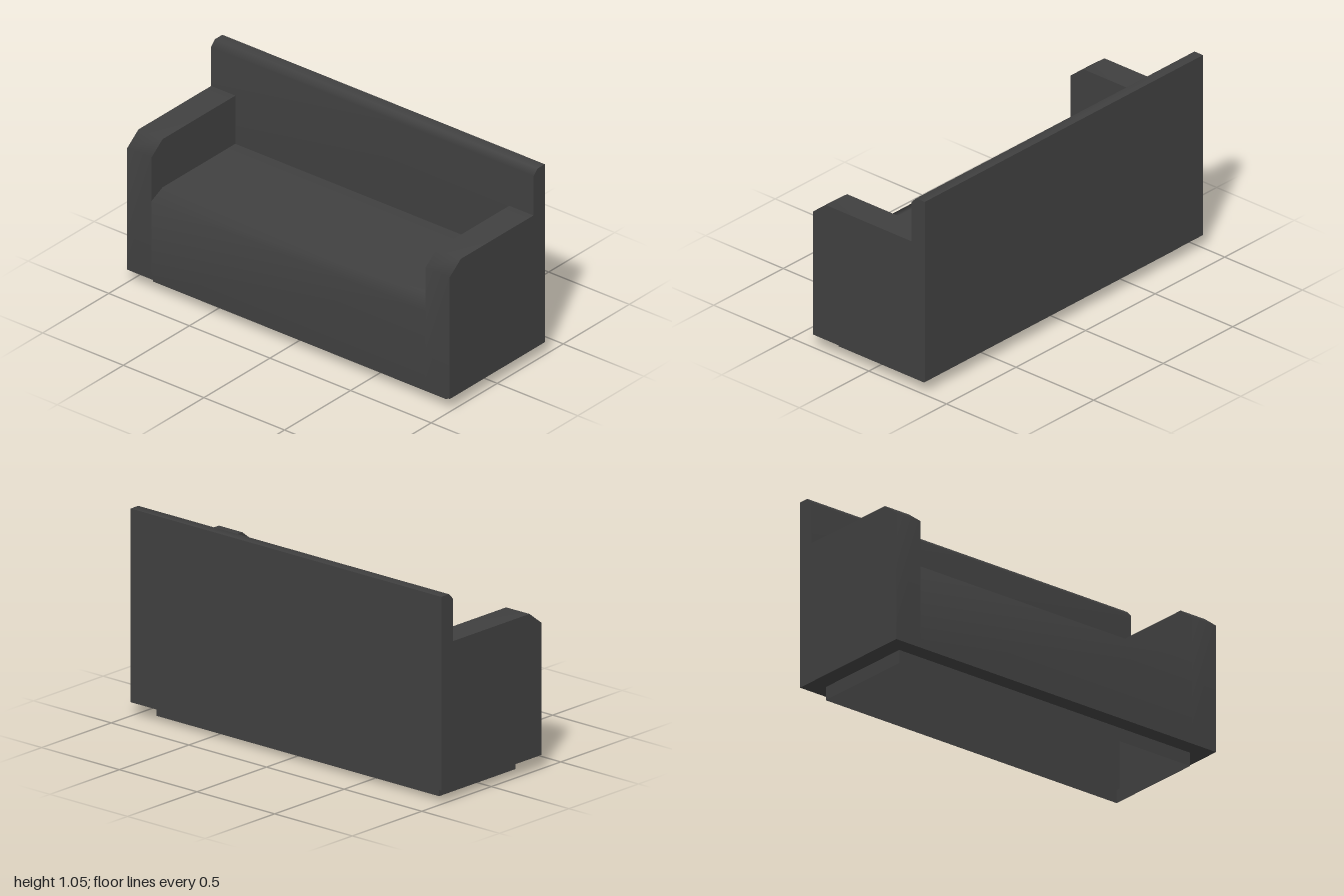
import * as THREE from 'three';

const charcoal = new THREE.MeshStandardMaterial({ color: 0x404040, side: THREE.DoubleSide });
charcoal.name = 'charcoal';

// Sheet swept along x over a [z, y] profile, smooth across its bends
function sheet(name, profile, x0, x1) {
  const pos = [], index = [];
  profile.forEach(([z, y], i) => {
    pos.push(x0, y, z, x1, y, z);
    if (i) {
      const a = 2 * i - 2;
      index.push(a, a + 1, a + 3, a, a + 3, a + 2);
    }
  });
  const geo = new THREE.BufferGeometry();
  geo.setAttribute('position', new THREE.Float32BufferAttribute(pos, 3));
  geo.setIndex(index);
  geo.computeVertexNormals();
  const mesh = new THREE.Mesh(geo, charcoal);
  mesh.name = name;
  return mesh;
}

// Flat panel with a [z, y] outline, facing left (+x) or right (-x)
function sidePanel(name, outline, x, facing) {
  const shape = new THREE.Shape(outline.map(([z, y]) => new THREE.Vector2(-facing * z, y)));
  const mesh = new THREE.Mesh(new THREE.ShapeGeometry(shape), charcoal);
  mesh.rotation.y = facing * Math.PI / 2;
  mesh.position.x = x;
  mesh.name = name;
  return mesh;
}

function rectangle(Type, hx, hz) {
  return new Type([[-hx, -hz], [hx, -hz], [hx, hz], [-hx, hz]].map(p => new THREE.Vector2(...p)));
}

export function createModel() {
  const sofa = new THREE.Group();
  sofa.name = 'sofa';

  const front = 0.36, back = -0.36, bend = 0.275, floor = 0.07;
  const seatY = 0.54, armY = 0.805, topY = 1.05;
  const armX = 0.85, baseX = 0.91, baseZ = 0.275;

  // Seat and backrest
  sofa.add(
    sheet('seat', [[front, floor], [front, 0.5], [bend, seatY], [-bend, seatY]], -armX, armX),
    sheet('backrest', [[-bend, seatY], [-bend, 1.02], [-0.305, topY], [back, topY]], -1, 1),
    sheet('backPanel', [[back, topY], [back, floor]], -1, 1)
  );

  // Arms
  const armProfile = [[front, floor], [front, 0.74], [bend, armY], [-bend, armY]];
  const outerOutline = [...armProfile, [-bend, 1.02], [-0.305, topY], [back, topY], [back, floor]];
  const innerOutline = [[front, 0.5], ...armProfile.slice(1), [-bend, seatY], [bend, seatY]];
  for (const s of [1, -1]) {
    const arm = new THREE.Group();
    arm.name = s > 0 ? 'leftArm' : 'rightArm';
    arm.add(
      sheet('armTop', armProfile, s > 0 ? armX : -1, s > 0 ? 1 : -armX),
      sidePanel('armOuterSide', outerOutline, s, s),
      sidePanel('armInnerSide', innerOutline, s * armX, -s)
    );
    sofa.add(arm);
  }

  // Underside rim around the open base
  const rimShape = rectangle(THREE.Shape, 1, front);
  rimShape.holes.push(rectangle(THREE.Path, baseX, baseZ));
  const rim = new THREE.Mesh(new THREE.ShapeGeometry(rimShape).rotateX(Math.PI / 2), charcoal);
  rim.position.y = floor;
  rim.name = 'undersideRim';
  sofa.add(rim);

  // Recessed plinth, open below
  const plinth = new THREE.Group();
  plinth.name = 'plinth';
  plinth.add(
    sheet('plinthFront', [[baseZ, 0], [baseZ, floor]], -baseX, baseX),
    sheet('plinthBack', [[-baseZ, floor], [-baseZ, 0]], -baseX, baseX)
  );
  const plinthEnd = [[baseZ, 0], [baseZ, floor], [-baseZ, floor], [-baseZ, 0]];
  for (const s of [1, -1]) plinth.add(sidePanel('plinthEnd', plinthEnd, s * baseX, s));
  sofa.add(plinth);

  return sofa;
}
